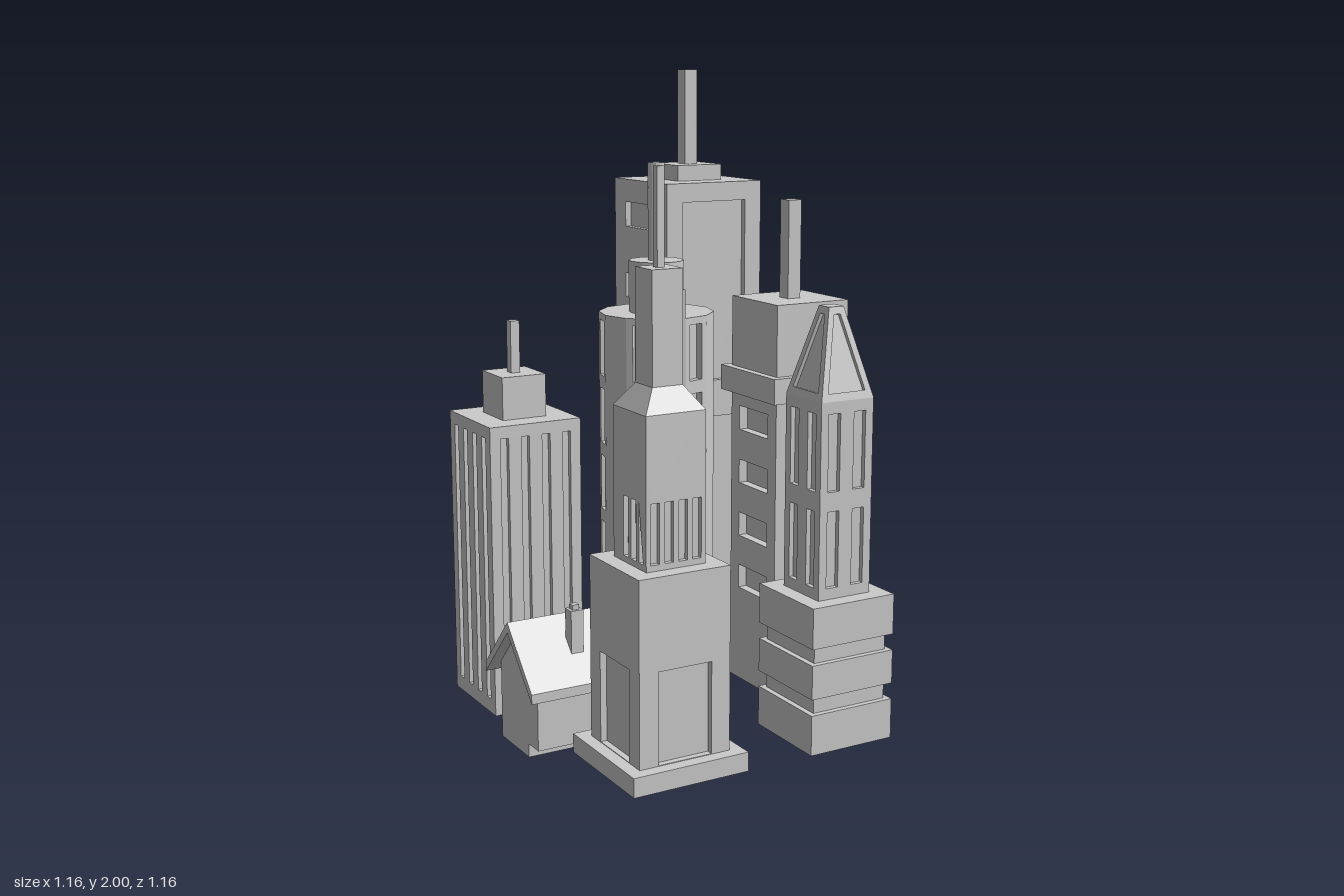
import * as THREE from 'three';

const mat = new THREE.MeshStandardMaterial({ color: 0xcccccc, flatShading: true });

function add(parent, name, geo, x = 0, y = 0, z = 0) {
  const m = new THREE.Mesh(geo, mat);
  m.name = name;
  m.position.set(x, y, z);
  parent.add(m);
  return m;
}

// Box standing between two heights
function block(parent, name, w, d, y0, y1, x = 0, z = 0) {
  return add(parent, name, new THREE.BoxGeometry(w, y1 - y0, d), x, (y0 + y1) / 2, z);
}

function polygon(points, Type = THREE.Shape) {
  return new Type(points.map(([x, y]) => new THREE.Vector2(x, y)));
}

function rect(x0, x1, y0, y1, Type) {
  return polygon([[x0, y0], [x1, y0], [x1, y1], [x0, y1]], Type);
}

// Upright panel with rectangular holes, its outer face at z = 0
function panel(w, y0, y1, t, holes) {
  const s = rect(-w / 2, w / 2, y0, y1);
  for (const h of holes) s.holes.push(rect(...h, THREE.Path));
  return new THREE.ExtrudeGeometry(s, { depth: t, bevelEnabled: false }).translate(0, 0, -t);
}

// Solid core wrapped in four pierced walls, giving recessed openings
function recessedBlock(parent, name, w, d, y0, y1, t, frontHoles, sideHoles, coreY = y0) {
  const g = new THREE.Group();
  g.name = name;
  parent.add(g);
  block(g, 'core', w - 2 * t, d - 2 * t, coreY, y1);
  for (let i = 0; i < 4; i++) {
    const side = i % 2;
    const geo = panel(side ? d - 2 * t : w, y0, y1, t, side ? sideHoles : frontHoles);
    geo.translate(0, 0, (side ? w : d) / 2).rotateY(i * Math.PI / 2);
    add(g, 'wall', geo);
  }
  return g;
}

// Square plinth that is open underneath
function plinth(parent, name, w, inner, y0, y1) {
  const s = rect(-w / 2, w / 2, -w / 2, w / 2);
  s.holes.push(rect(-inner / 2, inner / 2, -inner / 2, inner / 2, THREE.Path));
  const geo = new THREE.ExtrudeGeometry(s, { depth: y1 - y0, bevelEnabled: false });
  add(parent, name, geo.rotateX(-Math.PI / 2), 0, y0, 0);
}

// Square frustum from half-widths
function frustum(parent, name, top, bottom, y0, y1) {
  const geo = new THREE.CylinderGeometry(top * Math.SQRT2, bottom * Math.SQRT2, y1 - y0, 4);
  add(parent, name, geo.rotateY(Math.PI / 4), 0, (y0 + y1) / 2, 0);
}

function tower(root, name, x, z) {
  const g = new THREE.Group();
  g.name = name;
  g.position.set(x, 0, z);
  root.add(g);
  return g;
}

// Evenly stacked openings
const stack = (n, x0, x1, y0, h, step) =>
  Array.from({ length: n }, (_, i) => [x0, x1, y0 + i * step, y0 + i * step + h]);

function tallTower(root) {
  const g = tower(root, 'tallTower', 0.286, -0.411);
  recessedBlock(g, 'shaft', 0.348, 0.346, 0.027, 1.65, 0.02,
    [[-0.115, 0.115, 0.31, 0.89], [-0.115, 0.115, 1.01, 1.59]],
    stack(7, -0.1, 0.1, 0.1, 0.08, 0.2327));
  block(g, 'roofBlock', 0.161, 0.161, 1.65, 1.7);
  block(g, 'mast', 0.045, 0.048, 1.7, 2);
}

function ledgeTower(root) {
  const g = tower(root, 'ledgeTower', 0.4225, -0.004);
  const win = stack(4, -0.082, 0.082, 0.35, 0.077, 0.175);
  recessedBlock(g, 'shaft', 0.262, 0.26, 0.042, 1, 0.03, win, win);
  block(g, 'ledge', 0.312, 0.312, 0.997, 1.077);
  block(g, 'upperBlock', 0.262, 0.26, 1.077, 1.3);
  block(g, 'mast', 0.046, 0.048, 1.3, 1.607);
}

function roundTower(root) {
  const g = tower(root, 'roundTower', -0.05, -0.019);
  const r = 0.174, t = 0.022, n = 12;
  const apothem = r * Math.cos(Math.PI / n), width = 2 * r * Math.sin(Math.PI / n);
  const rCore = (apothem - t) / Math.cos(Math.PI / n);
  add(g, 'core', new THREE.CylinderGeometry(rCore, rCore, 1.09, n), 0, 0.745, 0);
  // Every second facet carries a column of windows
  for (let i = 0; i < n; i++) {
    const holes = i % 2 ? [] : stack(5, -0.025, 0.025, 0.27, 0.168, 0.2075);
    const geo = panel(width, 0.042, 1.29, t, holes).translate(0, 0, apothem);
    add(g, 'facet', geo.rotateY((i + 0.5) * 2 * Math.PI / n));
  }
  add(g, 'drum', new THREE.CylinderGeometry(0.083, 0.083, 0.155, n), 0, 1.3675, 0);
  add(g, 'mast', new THREE.CylinderGeometry(0.025, 0.025, 0.29, n), 0, 1.59, 0);
  // Wedge-shaped roof housing over one facet
  const at = (rad, a) => [rad * Math.sin(a), -rad * Math.cos(a)];
  const a = -Math.PI / 6;
  const s = polygon([at(0.08, 0), at(0.08, a), at(r, a), at(r, 0)]);
  const wedge = new THREE.ExtrudeGeometry(s, { depth: 0.085, bevelEnabled: false });
  add(g, 'roofHousing', wedge.rotateX(-Math.PI / 2), 0, 1.29, 0);
}

function steppedTower(root) {
  const g = tower(root, 'steppedTower', -0.272, 0.391);
  plinth(g, 'plinth', 0.372, 0.28, 0.042, 0.1);
  const door = [[-0.086, 0.086, 0.102, 0.377]];
  recessedBlock(g, 'lowerBlock', 0.293, 0.293, 0.1, 0.65, 0.02, door, door);
  const slots = [-0.067, -0.0223, 0.0223, 0.067].map(c => [c - 0.014, c + 0.014, 0.668, 0.843]);
  recessedBlock(g, 'middleBlock', 0.19, 0.19, 0.65, 1.09, 0.015, slots, slots);
  frustum(g, 'shoulder', 0.048, 0.095, 1.09, 1.157);
  block(g, 'upperShaft', 0.096, 0.096, 1.157, 1.48);
  block(g, 'mast', 0.023, 0.023, 1.48, 1.755);
}

function spireTower(root) {
  const g = tower(root, 'spireTower', 0.31, 0.382);
  // Banded base
  plinth(g, 'baseBand', 0.29, 0.23, 0.016, 0.14);
  block(g, 'groove', 0.255, 0.255, 0.135, 0.195);
  block(g, 'baseBand', 0.29, 0.29, 0.19, 0.295);
  block(g, 'groove', 0.255, 0.255, 0.29, 0.35);
  block(g, 'baseBand', 0.29, 0.29, 0.345, 0.47);
  const slots = [...stack(2, -0.065, -0.024, 0.504, 0.233, 0.292),
    ...stack(2, 0.024, 0.065, 0.504, 0.233, 0.292)];
  recessedBlock(g, 'shaft', 0.184, 0.184, 0.47, 1.065, 0.015, slots, slots);
  // Spire with a recessed opening on each slope
  const b = 0.092, top = 0.026, rise = 0.265, t = 0.012;
  const slant = Math.hypot(rise, b - top), tilt = Math.atan2(b - top, rise);
  const s = polygon([[-b, 0], [b, 0], [top, slant], [-top, slant]]);
  s.holes.push(polygon([[-0.065, 0.024], [0.065, 0.024], [0.011, 0.252], [-0.011, 0.252]], THREE.Path));
  for (let i = 0; i < 4; i++) {
    const geo = new THREE.ExtrudeGeometry(s, { depth: t, bevelEnabled: false });
    geo.translate(0, 0, -t).rotateX(-tilt).translate(0, 1.065, b).rotateY(i * Math.PI / 2);
    add(g, 'spireSlope', geo);
  }
  frustum(g, 'spireCore', top - 0.0125, b - 0.0125, 1.065, 1.065 + rise);
  block(g, 'spireCap', 0.052, 0.052, 1.322, 1.331);
}

function ribbedTower(root) {
  const g = tower(root, 'ribbedTower', -0.381, -0.334);
  const slots = [-0.104, -0.035, 0.035, 0.104].map(c => [c - 0.0135, c + 0.0135, 0.08, 0.912]);
  recessedBlock(g, 'shaft', 0.304, 0.306, 0.035, 0.95, 0.015, slots, slots);
  block(g, 'roofBlock', 0.146, 0.15, 0.95, 1.083);
  block(g, 'mast', 0.03, 0.03, 1.083, 1.245);
}

function house(root) {
  const g = tower(root, 'house', -0.415, 0.022);
  // Cross-sections run along x
  const along = (name, pts, length) => {
    const geo = new THREE.ExtrudeGeometry(polygon(pts), { depth: length, bevelEnabled: false });
    add(g, name, geo.translate(0, 0, -length / 2).rotateY(-Math.PI / 2));
  };
  along('walls', [[-0.128, 0], [0.063, 0], [0.063, 0.042], [0.128, 0.042],
    [0.128, 0.26], [0, 0.385], [-0.128, 0.26]], 0.26);
  along('roof', [[-0.163, 0.205], [0, 0.375], [0.163, 0.205],
    [0.163, 0.235], [0, 0.407], [-0.163, 0.235]], 0.33);
  block(g, 'chimney', 0.04, 0.04, 0.28, 0.44, 0.02, 0.073);
  block(g, 'flue', 0.022, 0.022, 0.43, 0.455, 0.02, 0.073);
}

export function createModel() {
  const root = new THREE.Group();
  root.name = 'cityBlock';
  for (const build of [tallTower, ledgeTower, roundTower, steppedTower,
    spireTower, ribbedTower, house]) build(root);
  return root;
}
